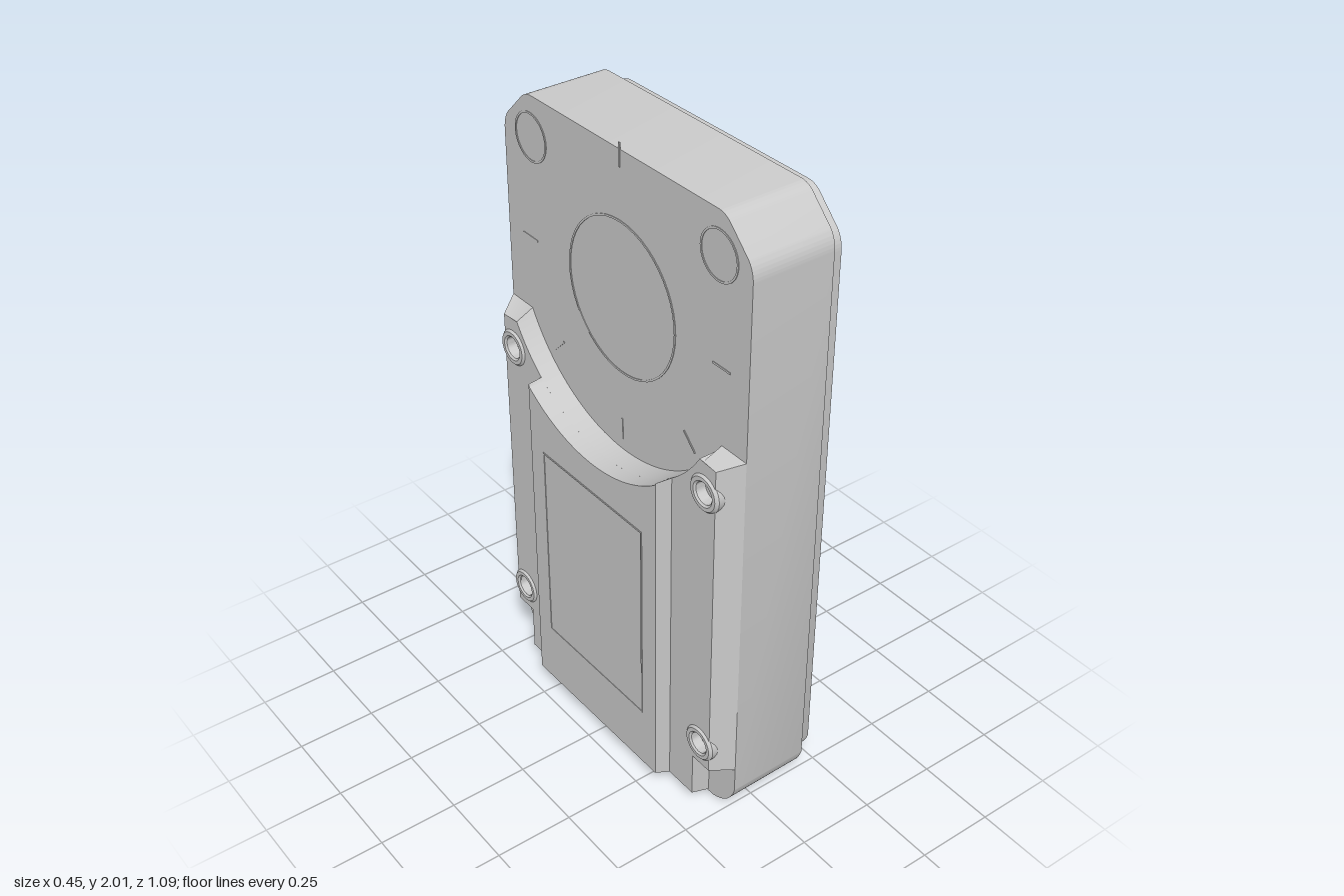
import * as THREE from 'three';
import { toCreasedNormals } from 'three/addons/utils/BufferGeometryUtils.js';

const grey = new THREE.MeshStandardMaterial({ color: 0xcccccc });
const greyDouble = new THREE.MeshStandardMaterial({ color: 0xcccccc, side: THREE.DoubleSide });
const CY = 1.55, R = 0.5; // circular recess on the back
const SCREW_Z = 0.45, SCREW_Y = [0.27, 1.19];

// Shapes are drawn in (z, y); depth d runs towards the back (-x).
function plate(name, shape, d0, d1, rule) {
  const geo = new THREE.ExtrudeGeometry(shape, { depth: d1 - d0, bevelEnabled: false, curveSegments: 24 });
  geo.translate(0, 0, d0);
  if (rule) {
    const p = geo.attributes.position;
    for (let i = 0; i < p.count; i++) {
      if (p.getZ(i) > (d0 + d1) / 2) p.setXY(i, ...rule(p.getX(i), p.getY(i)));
    }
  }
  const mesh = new THREE.Mesh(toCreasedNormals(geo, 0.5), grey);
  mesh.name = name;
  return mesh;
}

// Case outline: chamfered top corners, rounded bottom corners
function caseOutline(inset) {
  const w = 0.54 - inset, b = 0.004 + inset, t = 1.996 - inset, r = 0.1 - inset * 0.5;
  const s = new THREE.Shape();
  s.moveTo(-w + r, b);
  s.lineTo(w - r, b);
  s.quadraticCurveTo(w - r * 0.2, b + r * 0.2, w, b + r);
  s.absarc(w - r, b + r, r, 0, 0, false);
  s.lineTo(w, t - 0.15);
  s.quadraticCurveTo(w, t - 0.115, w - 0.02, t - 0.09);
  s.lineTo(w - 0.09, t - 0.02);
  s.quadraticCurveTo(w - 0.11, t, w - 0.14, t);
  s.lineTo(-w + 0.14, t);
  s.quadraticCurveTo(-w + 0.11, t, -w + 0.09, t - 0.02);
  s.lineTo(-w + 0.02, t - 0.09);
  s.quadraticCurveTo(-w, t - 0.115, -w, t - 0.15);
  s.lineTo(-w, b + r);
  s.quadraticCurveTo(-w + r * 0.2, b + r * 0.2, -w + r, b);
  return s;
}

function circleHole(x, y, r) {
  return new THREE.Path().absarc(x, y, r, 0, Math.PI * 2, true);
}

function ring(name, x, y, r, d) {
  const s = new THREE.Shape().absarc(x, y, r, 0, Math.PI * 2, false);
  s.holes.push(circleHole(x, y, r - 0.006));
  return plate(name, s, d - 0.002, d + 0.002);
}

export function createModel() {
  const model = new THREE.Group();
  model.name = 'handheldDevice';
  const device = new THREE.Group();
  device.name = 'device';
  device.rotation.y = -Math.PI / 2;
  device.position.y = -1;

  // Case and raised screen
  device.add(plate('case', caseOutline(0), -0.16, 0.105));
  device.add(plate('screen', caseOutline(0.03), -0.212, -0.16));

  // Rear slab with circular bite, corner notches and screw holes
  const slab = new THREE.Shape();
  const a = Math.asin(0.24 / R);
  slab.moveTo(-0.42, 0.01);
  slab.lineTo(0.42, 0.01);
  slab.lineTo(0.42, 0.19);
  slab.lineTo(0.54, 0.19);
  slab.lineTo(0.54, 1.31);
  slab.absarc(0, CY, R, -a, -Math.PI + a, true);
  slab.lineTo(-0.54, 1.31);
  slab.lineTo(-0.54, 0.19);
  slab.lineTo(-0.42, 0.19);
  for (const side of [-1, 1]) for (const y of SCREW_Y) slab.holes.push(circleHole(side * SCREW_Z, y, 0.034));
  device.add(plate('rearSlab', slab, 0.105, 0.17, (x, y) => [
    Math.abs(x) > 0.53 ? Math.sign(x) * 0.495 : x,
    y > 1.3 ? 1.285 : y < 0.02 ? 0.035 : y,
  ]));

  // Raised centre cover following the same circle
  const cover = new THREE.Shape();
  const c = Math.acos(0.31 / R);
  cover.moveTo(-0.31, 0.035);
  cover.lineTo(0.31, 0.035);
  cover.absarc(0, CY, R, -c, -Math.PI + c, true);
  device.add(plate('centreCover', cover, 0.17, 0.22, (x, y) => [
    Math.abs(x) > 0.309 ? Math.sign(x) * 0.303 : x,
    y < 0.1 ? 0.055 : y,
  ]));

  // Thin frame line of the label panel
  const rect = (Type, w, y0, y1) => new Type([[-w, y0], [w, y0], [w, y1], [-w, y1]].map(p => new THREE.Vector2(...p)));
  const frame = rect(THREE.Shape, 0.24, 0.26, 0.95);
  frame.holes.push(rect(THREE.Path, 0.235, 0.265, 0.945));
  device.add(plate('panelFrame', frame, 0.218, 0.222));

  // Screw bosses
  const bossProfile = [[0, 0.14], [0.034, 0.14], [0.034, 0.172], [0.04, 0.177], [0.052, 0.177], [0.06, 0.168], [0.06, 0.1]]
    .map(p => new THREE.Vector2(...p));
  const bossGeo = toCreasedNormals(new THREE.LatheGeometry(bossProfile, 28).rotateX(Math.PI / 2), 0.6);
  for (const side of [-1, 1]) {
    for (const y of SCREW_Y) {
      const boss = new THREE.Mesh(bossGeo, greyDouble);
      boss.name = 'screwBoss';
      boss.position.set(side * SCREW_Z, y, 0);
      device.add(boss);
    }
    device.add(ring('cornerRing', side * 0.41, 1.87, 0.075, 0.105));
  }

  // Ring and radial ticks in the recess
  device.add(ring('recessRing', 0, CY, 0.24, 0.105));
  for (const deg of [0, 90, 180, 225, 270, 315]) {
    const t = THREE.MathUtils.degToRad(deg);
    const tick = new THREE.Mesh(new THREE.BoxGeometry(0.07, 0.006, 0.004), grey);
    tick.name = 'recessTick';
    tick.position.set(Math.cos(t) * 0.43, CY + Math.sin(t) * 0.43, 0.105);
    tick.rotation.z = t;
    device.add(tick);
  }

  // The device leans very slightly
  const lean = new THREE.Group();
  lean.name = 'lean';
  lean.position.y = 1;
  lean.rotation.set(0.007, 0.009, 0.006);
  lean.add(device);
  model.add(lean);
  return model;
}
